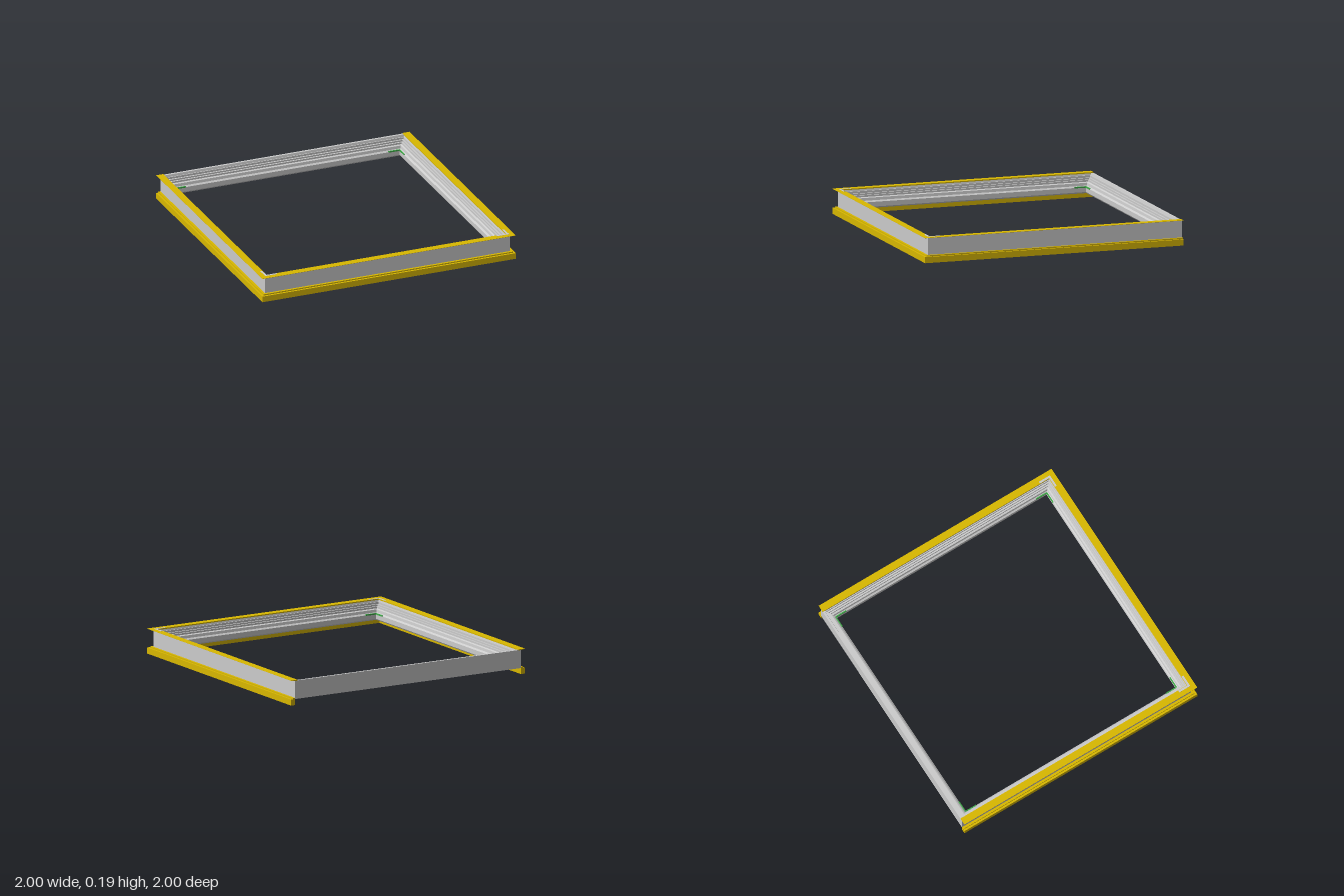
import * as THREE from 'three';

const material = (color) => new THREE.MeshStandardMaterial({ color, flatShading: true });

// Sweeps a counter-clockwise [outward, y] profile round mitred stations.
function sweep(profile, stations, closed) {
  const pos = [];
  const put = (s, p) => pos.push(...stations[s](p[0], p[1]));
  const n = profile.length, m = stations.length;
  for (let s = 0; s < (closed ? m : m - 1); s++) {
    const t = (s + 1) % m;
    for (let i = 0; i < n; i++) {
      const a = profile[i], b = profile[(i + 1) % n];
      put(s, a); put(s, b); put(t, b);
      put(s, a); put(t, b); put(t, a);
    }
  }
  if (!closed) {
    const contour = profile.map((p) => new THREE.Vector2(p[0], p[1]));
    for (const [a, b, c] of THREE.ShapeUtils.triangulateShape(contour, [])) {
      put(0, profile[c]); put(0, profile[b]); put(0, profile[a]);
      put(m - 1, profile[a]); put(m - 1, profile[b]); put(m - 1, profile[c]);
    }
  }
  const g = new THREE.BufferGeometry();
  g.setAttribute('position', new THREE.Float32BufferAttribute(pos, 3));
  g.computeVertexNormals();
  return g;
}

export function createModel() {
  const model = new THREE.Group();
  const grey = material(0xcccccc), yellow = material(0xd9b800), green = material(0x3fae49);
  const add = (name, geometry, mat, parent = model) => {
    const mesh = new THREE.Mesh(geometry, mat);
    mesh.name = name;
    parent.add(mesh);
    return mesh;
  };

  // The frame's back wall lies on z = -1, the other three are set in to 0.967
  const shift = 0.033;
  const ring = [
    (c, y) => [c, y, -c - shift],
    (c, y) => [c, y, c],
    (c, y) => [-c, y, c],
    (c, y) => [-c, y, -c - shift],
  ];
  // Trims run round three sides and end flush with the back
  const threeSides = [
    (c, y) => [c, y, -1],
    (c, y) => [c, y, c],
    (c, y) => [-c, y, c],
    (c, y) => [-c, y, -1],
  ];

  // Stepped window-frame section
  add('frame', sweep([
    [0.967, 0.045], [0.967, 0.182], [0.95, 0.182], [0.946, 0.165],
    [0.94, 0.165], [0.94, 0.15], [0.928, 0.15], [0.928, 0.138],
    [0.916, 0.138], [0.916, 0.125], [0.903, 0.12], [0.9, 0.1],
    [0.888, 0.09], [0.888, 0.055], [0.895, 0.045],
  ], ring, true), grey);

  // Top cap with a thin outer lip
  add('topCap', sweep([
    [0.945, 0.179], [0.967, 0.179], [1, 0.185], [1, 0.187], [0.945, 0.187],
  ], threeSides, false), yellow);

  // Stepped trim round the foot
  add('lowerTrim', sweep([
    [0.965, 0], [1, 0], [1, 0.045], [0.985, 0.045], [0.985, 0.054], [0.965, 0.054],
  ], threeSides, false), yellow);

  // Flat L plates on the two front corners, L cleats inside all four
  for (const sx of [-1, 1]) {
    const plate = new THREE.Group();
    plate.name = 'cornerPlate';
    model.add(plate);
    add('plateSideArm', new THREE.BoxGeometry(0.016, 0.002, 0.095), grey, plate)
      .position.set(sx * 0.955, 0.187, 0.9155);
    add('plateFrontArm', new THREE.BoxGeometry(0.079, 0.002, 0.016), grey, plate)
      .position.set(sx * 0.9075, 0.187, 0.955);

    for (const [sz, edge] of [[1, 0.889], [-1, 0.922]]) {
      const cleat = new THREE.Group();
      cleat.name = 'cornerCleat';
      model.add(cleat);
      add('cleatSideArm', new THREE.BoxGeometry(0.008, 0.01, 0.09), green, cleat)
        .position.set(sx * 0.89, 0.092, sz * (edge - 0.045));
      add('cleatEndArm', new THREE.BoxGeometry(0.09, 0.01, 0.008), green, cleat)
        .position.set(sx * 0.845, 0.092, sz * (edge + 0.001));
    }
  }
  return model;
}
